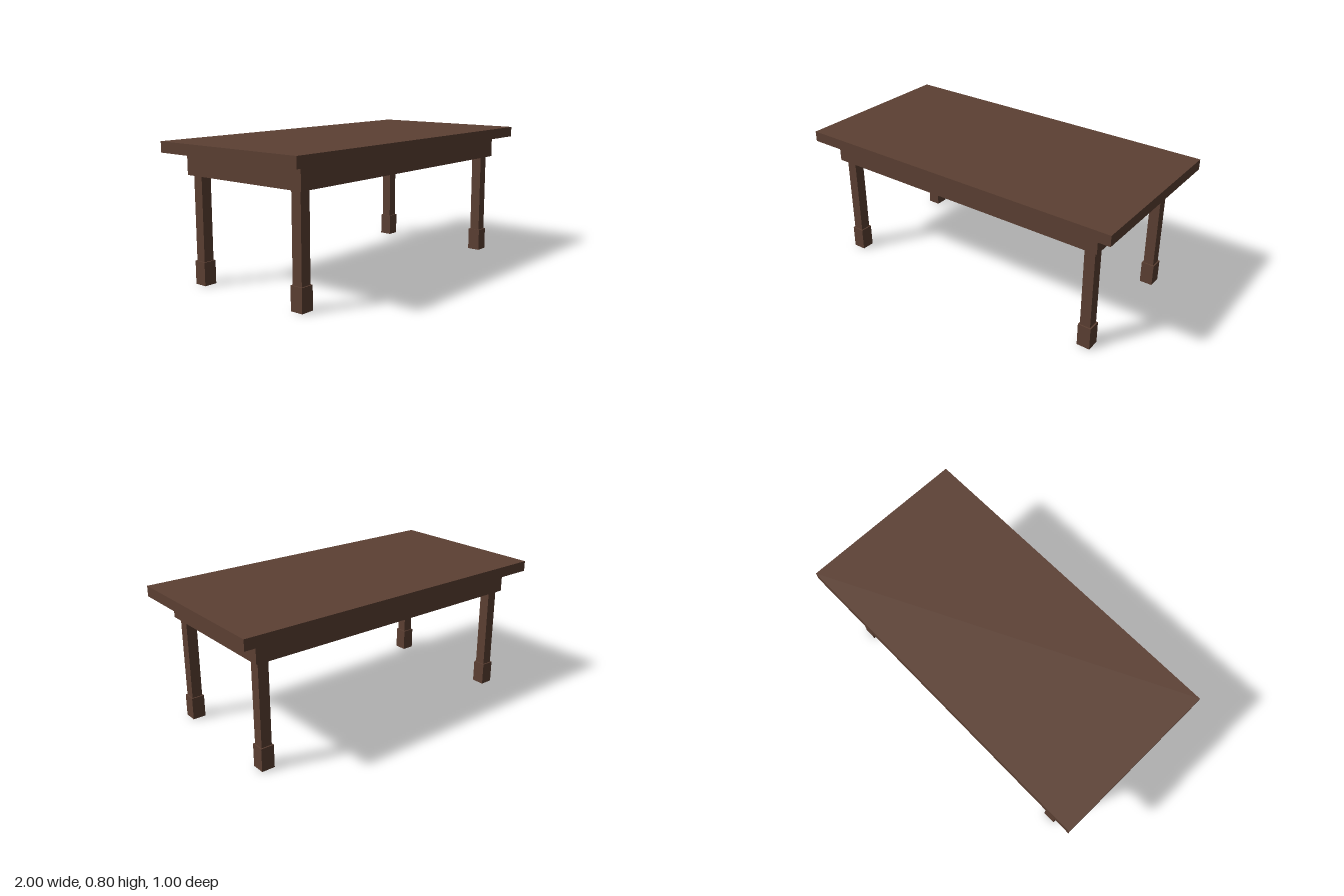
import * as THREE from 'three';

export function createModel() {
  const model = new THREE.Group();
  model.name = 'table';
  const wood = new THREE.MeshStandardMaterial({ color: 0x5c4033 });
  wood.name = 'dark wood';

  // Box standing on y = bottom
  const addBox = (parent, name, w, h, d, x, bottom, z) => {
    const mesh = new THREE.Mesh(new THREE.BoxGeometry(w, h, d), wood);
    mesh.name = name;
    mesh.position.set(x, bottom + h / 2, z);
    parent.add(mesh);
  };

  // Table top and the solid apron beneath it
  addBox(model, 'tableTop', 2, 0.061, 1, 0, 0.737, 0);
  addBox(model, 'apron', 1.782, 0.125, 0.843, 0, 0.612, 0);

  // Four slim square legs on thicker block feet, set slightly unevenly
  const legs = [
    ['frontLeftLeg', 0.837, 0.362],
    ['frontRightLeg', -0.833, 0.362],
    ['backLeftLeg', 0.837, -0.365],
    ['backRightLeg', -0.833, -0.371],
  ];
  for (const [name, x, z] of legs) {
    const leg = new THREE.Group();
    leg.name = name;
    leg.position.set(x, 0, z);
    addBox(leg, 'post', 0.062, 0.479, 0.062, 0, 0.133, 0);
    addBox(leg, 'foot', 0.077, 0.133, 0.077, 0, 0, 0);
    model.add(leg);
  }
  return model;
}
